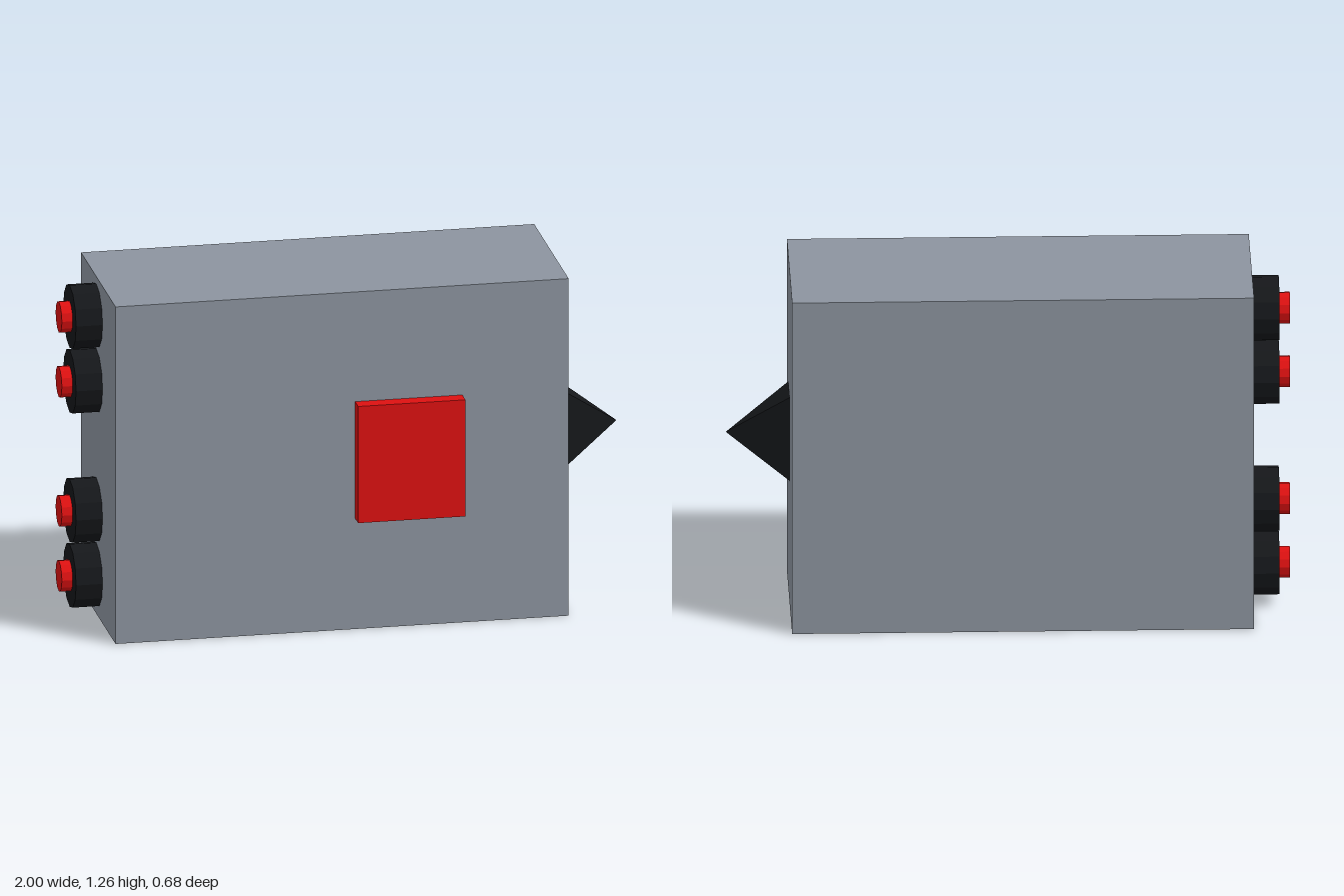
import * as THREE from 'three';

const paint = (color) => new THREE.MeshStandardMaterial({ color, flatShading: true });

export function createModel() {
  const group = new THREE.Group();
  const grey = paint(0x8c949f), red = paint(0xdd1111), black = paint(0x15171a);

  const add = (name, geometry, material, x, y, z) => {
    const mesh = new THREE.Mesh(geometry, material);
    mesh.name = name;
    mesh.position.set(x, y, z);
    group.add(mesh);
    return mesh;
  };

  // Main block and the raised panel on its front
  add('body', new THREE.BoxGeometry(1.64, 1.26, 0.628), grey, -0.045, 0.63, -0.028);
  add('frontPanel', new THREE.BoxGeometry(0.388, 0.436, 0.056), red, 0.196, 0.632, 0.314);

  // Four-sided spike: square pyramid turned to point along +x, then stretched
  const spike = new THREE.ConeGeometry(Math.SQRT1_2, 1, 4, 1)
    .rotateY(Math.PI / 4)
    .rotateZ(-Math.PI / 2)
    .scale(0.225, 0.318, 0.16);
  add('spike', spike, black, 0.8875, 0.631, 0.022);

  // Knobs on the opposite end, each with a red button
  const knob = new THREE.CylinderGeometry(0.117, 0.117, 0.097, 12).rotateZ(Math.PI / 2);
  const button = new THREE.CylinderGeometry(0.057, 0.057, 0.04, 12).rotateZ(Math.PI / 2);
  [0.148, 0.391, 0.874, 1.116].forEach((y, i) => {
    add(`knob${i + 1}`, knob, black, -0.9125, y, -0.066);
    add(`button${i + 1}`, button, red, -0.98, y, -0.068);
  });

  return group;
}
